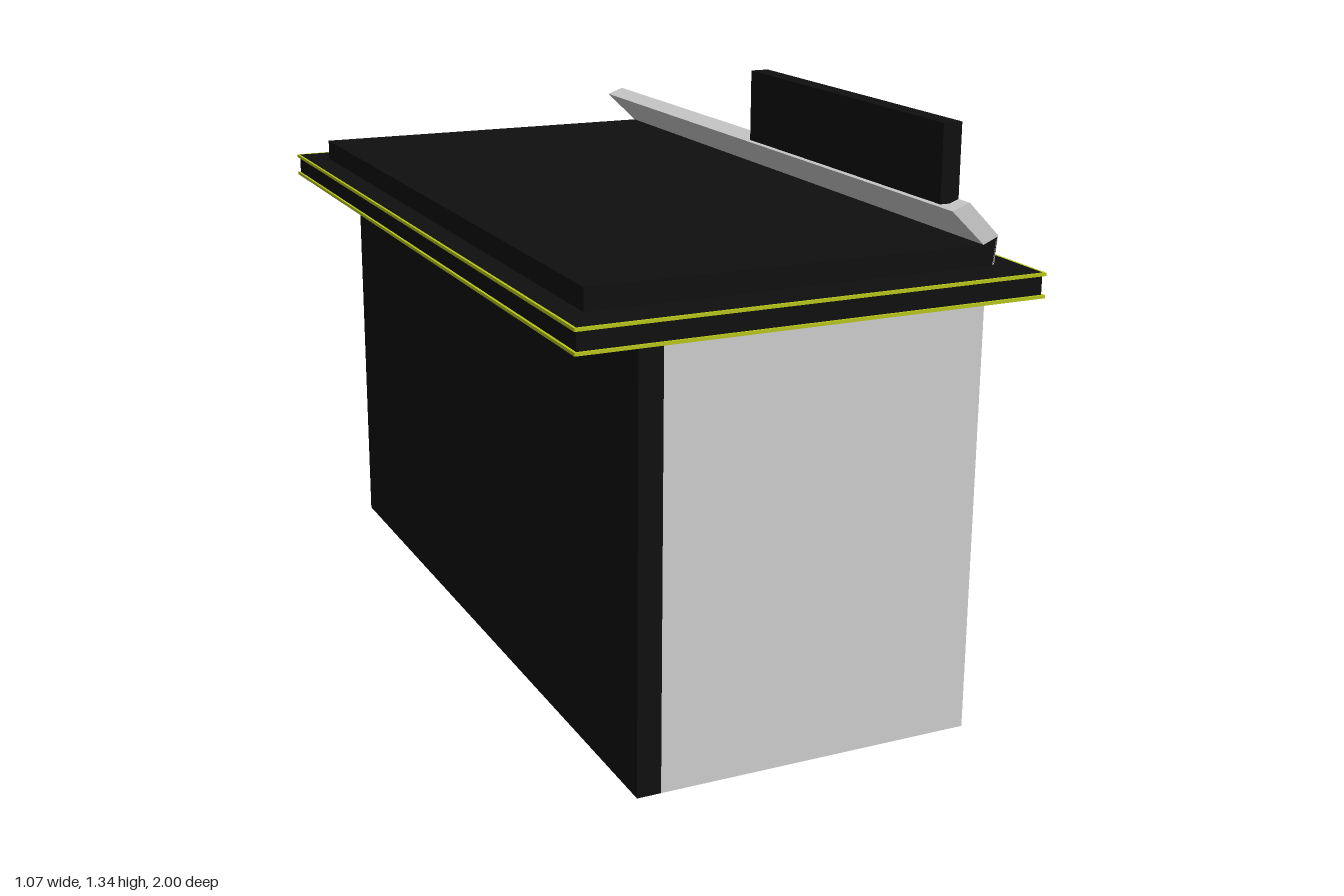
import * as THREE from 'three';

const material = (color) => new THREE.MeshStandardMaterial({ color, flatShading: true });
const grey = material(0xcccccc);
const black = material(0x0f0f0f);
const lime = material(0xb5c41a);
const brown = material(0x2e1a12);
const magenta = material(0xcc10cc);
const teal = material(0x14cc9c);

function add(parent, name, geometry, mat) {
  const mesh = new THREE.Mesh(geometry, mat);
  mesh.name = name;
  parent.add(mesh);
  return mesh;
}

// Box given by its limits on each axis
function box(parent, name, [x0, x1], [y0, y1], [z0, z1], mat) {
  const geometry = new THREE.BoxGeometry(x1 - x0, y1 - y0, z1 - z0);
  geometry.translate((x0 + x1) / 2, (y0 + y1) / 2, (z0 + z1) / 2);
  return add(parent, name, geometry, mat);
}

const shapeOf = (points) => new THREE.Shape(points.map(([a, b]) => new THREE.Vector2(a, b)));

// Floor plan of [x, z] points raised from y0 to y1
function plan(parent, name, points, y0, y1, mat, hole) {
  const flip = (list) => list.map(([x, z]) => [x, -z]);
  const shape = shapeOf(flip(points));
  if (hole) shape.holes.push(shapeOf(flip(hole)));
  const geometry = new THREE.ExtrudeGeometry(shape, { depth: y1 - y0, bevelEnabled: false });
  geometry.rotateX(-Math.PI / 2).translate(0, y0, 0);
  return add(parent, name, geometry, mat);
}

// Cross-section of [x, y] points carried from z0 to z1
function section(parent, name, points, z0, z1, mat) {
  const geometry = new THREE.ExtrudeGeometry(shapeOf(points), { depth: z1 - z0, bevelEnabled: false });
  geometry.translate(0, 0, z0);
  return add(parent, name, geometry, mat);
}

const rectangle = (x0, x1, z0, z1) => [[x0, z0], [x1, z0], [x1, z1], [x0, z1]];

// Octagonal seat on four legs, z0 is its rear end
function bench(z0) {
  const group = new THREE.Group();
  group.name = 'bench';
  const [x0, x1, z1, cx, cz] = [-0.33, 0.01, z0 + 0.715, 0.06, 0.09];
  plan(group, 'benchSeat', [
    [x0 + cx, z0], [x1 - cx, z0], [x1, z0 + cz], [x1, z1 - cz],
    [x1 - cx, z1], [x0 + cx, z1], [x0, z1 - cz], [x0, z0 + cz],
  ], 0.245, 0.27, brown);
  for (const x of [-0.27, -0.12]) {
    for (const z of [z0, z1 - 0.045]) {
      box(group, 'benchLeg', [x, x + 0.07], [0, 0.245], [z, z + 0.045], brown);
    }
  }
  return group;
}

export function createModel() {
  const model = new THREE.Group();
  model.name = 'shelter';

  // Long side wall joined to the rear block, with one cut corner
  plan(model, 'wallAndRearBlock', [
    [-0.385, 0.955], [-0.33, 0.955], [-0.33, -0.75], [0.52, -0.75],
    [0.52, -1], [-0.325, -1], [-0.385, -0.9],
  ], 0, 0.985, black);
  box(model, 'frontPanel', [-0.33, 0.41], [0, 0.985], [0.907, 0.955], grey);

  // Roof with two thin coloured bands around its edge
  box(model, 'roof', [-0.531, 0.525], [0.983, 1.037], [-0.965, 0.993], black);
  for (const y of [0.982, 1.03]) {
    plan(model, 'roofTrim', rectangle(-0.537, 0.531, -0.971, 0.999), y, y + 0.007, lime,
      rectangle(-0.531, 0.525, -0.965, 0.993));
  }
  section(model, 'raisedRoof', [
    [-0.475, 1.036], [0.469, 1.036], [0.475, 1.098], [0.44, 1.084], [-0.475, 1.087],
  ], -0.87, 0.897, black);

  // Grey fascia and the slanted canopy strip above it
  section(model, 'fascia', [
    [0.466, 1.036], [0.47, 1.036], [0.477, 1.1], [0.473, 1.1],
  ], -0.87, 0.897, grey);
  section(model, 'slantedStrip', [
    [0.44, 1.084], [0.477, 1.1], [0.4, 1.178], [0.358, 1.163],
  ], -0.872, 0.899, grey);
  box(model, 'signBoard', [0.355, 0.4], [1.17, 1.342], [0.005, 0.857], black);

  for (const z0 of [0.135, -0.707]) model.add(bench(z0));

  // Control panel on the side of the rear block: ring, keys and tray
  const panel = new THREE.Group();
  panel.name = 'controlPanel';
  model.add(panel);
  const disc = new THREE.Shape().absarc(0, 0, 0.098, 0, Math.PI * 2);
  disc.holes.push(new THREE.Path().absarc(0, 0, 0.064, 0, Math.PI * 2, true));
  const ring = add(panel, 'ring',
    new THREE.ExtrudeGeometry(disc, { depth: 0.006, bevelEnabled: false, curveSegments: 24 }), magenta);
  ring.rotation.y = Math.PI / 2;
  ring.position.set(0.52, 0.55, -0.868);
  for (let row = 0; row < 4; row++) {
    for (let col = 0; col < 5; col++) {
      const y = 0.424 - row * 0.038;
      const z = -0.793 - col * 0.0375;
      box(panel, 'key', [0.515, 0.526], [y - 0.016, y + 0.016], [z - 0.016, z + 0.016],
        (row + col) % 2 ? teal : magenta);
    }
  }
  box(panel, 'tray', [0.515, 0.536], [0.232, 0.284], [-0.947, -0.788], teal);

  return model;
}
